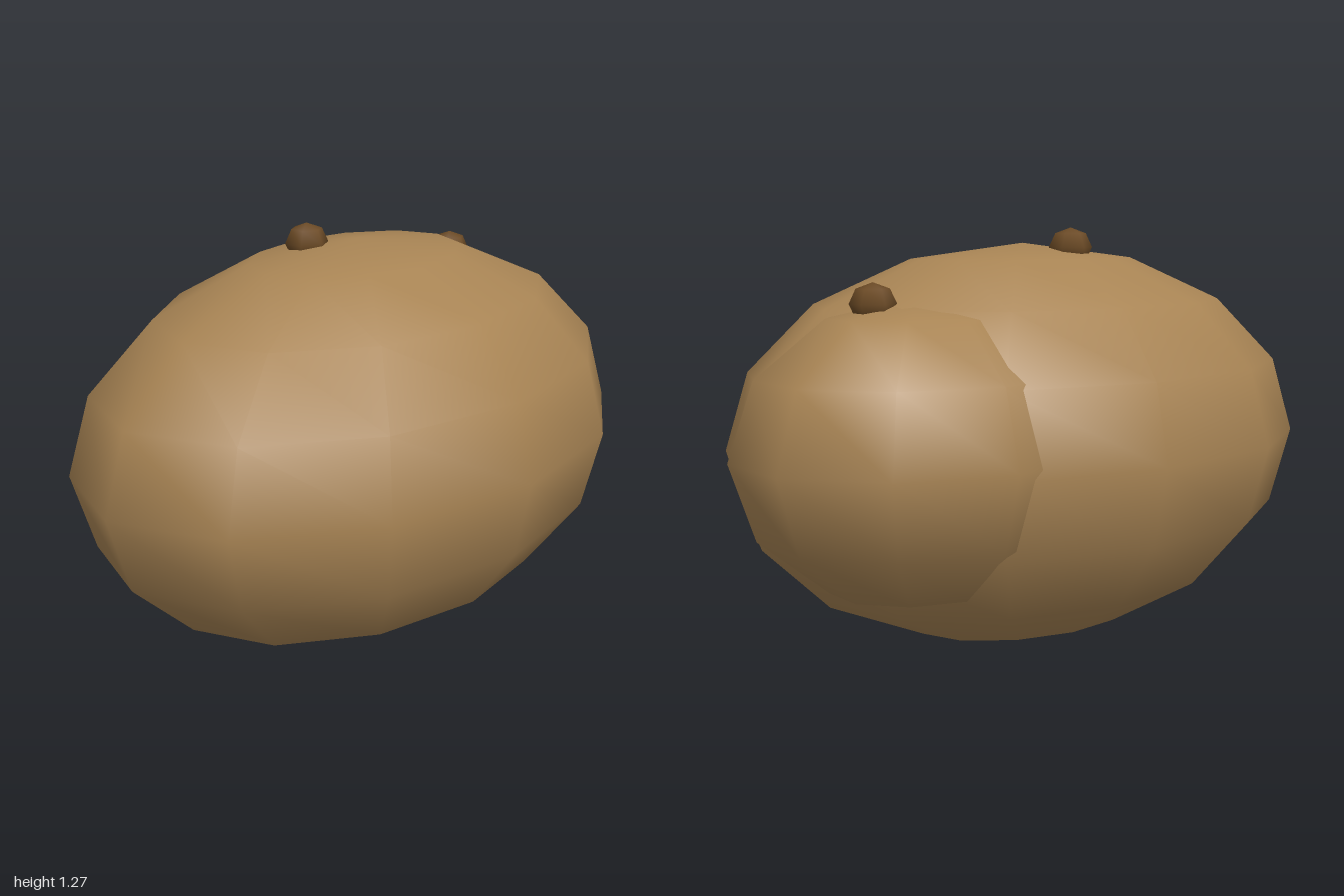
import * as THREE from 'three';

const skin = new THREE.MeshStandardMaterial({ color: 0xa88454 });
skin.name = 'tan skin';
const sprout = new THREE.MeshStandardMaterial({ color: 0x6b4a25 });
sprout.name = 'dark brown';

// Low-segment ellipsoid with smooth normals; turn sets where its columns start
function ellipsoid(name, material, segments, rings, radii, position, turn = 0) {
  const geometry = new THREE.SphereGeometry(1, segments, rings);
  geometry.rotateY(turn);
  geometry.scale(...radii);
  const mesh = new THREE.Mesh(geometry, material);
  mesh.name = name;
  mesh.position.set(...position);
  return mesh;
}

export function createModel() {
  const model = new THREE.Group();
  model.name = 'potato';

  // Main tuber
  model.add(ellipsoid('body', skin, 12, 8, [0.985, 0.614, 0.68], [-0.015, 0.616, 0]));

  // Swelling on the left rear end
  model.add(ellipsoid('bulge', skin, 10, 6, [0.568, 0.45, 0.47], [0.46, 0.64, -0.16], Math.PI / 2));

  // Small eyes on the top
  const eyes = [[-0.12, 1.217, -0.107], [0.617, 1.07, -0.158]];
  for (const position of eyes) {
    model.add(ellipsoid('potatoEye', sprout, 6, 4, [0.067, 0.06, 0.067], position, Math.PI / 2));
  }

  return model;
}
